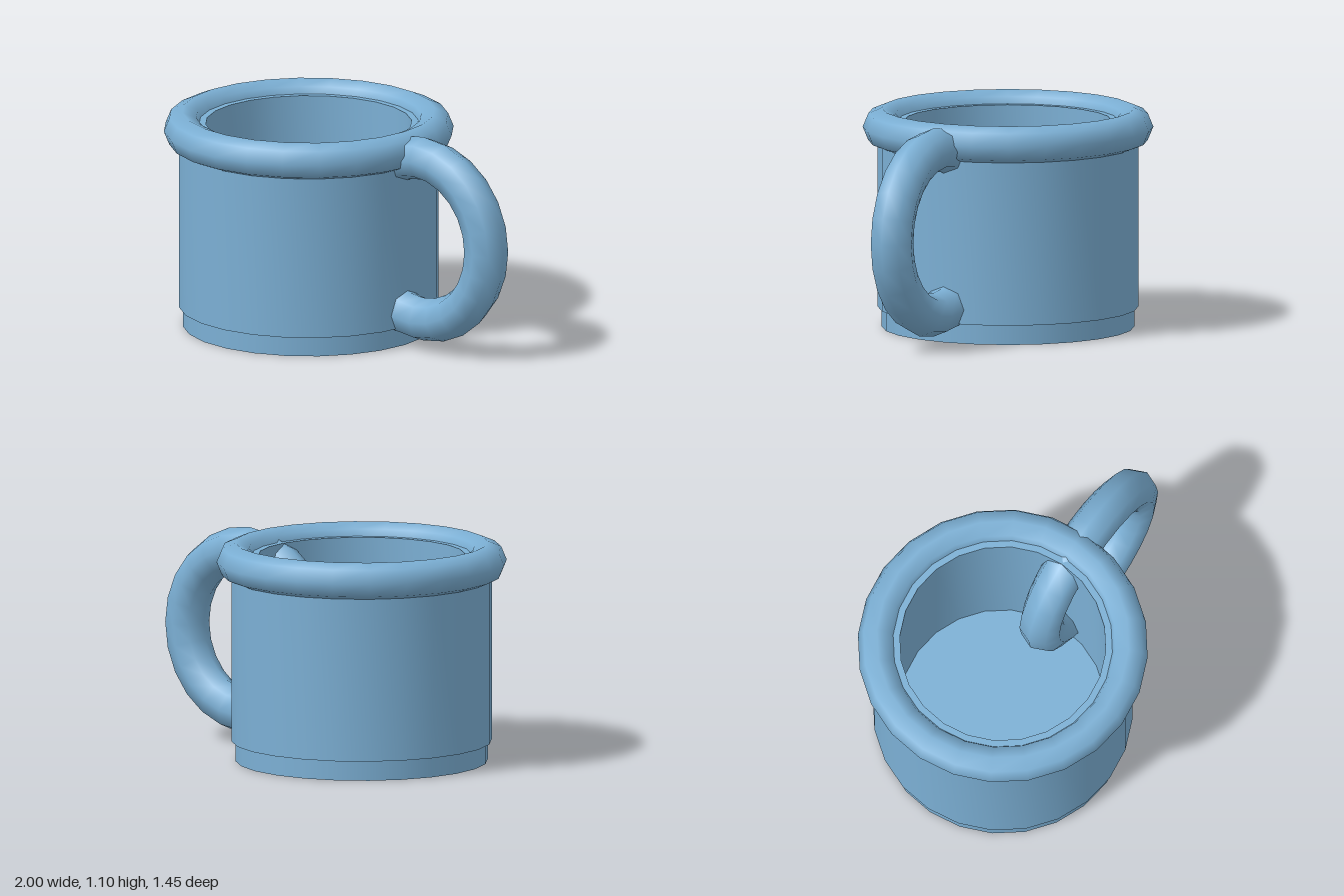
import * as THREE from 'three';
import { toCreasedNormals } from 'three/addons/utils/BufferGeometryUtils.js';

const SIDES = 24;
const TUBE_SIDES = 8;

export function createModel() {
  const model = new THREE.Group();
  const material = new THREE.MeshStandardMaterial({ color: 0x7bafd4 });

  const add = (name, geometry, x, y, parent = model) => {
    const mesh = new THREE.Mesh(geometry, material);
    mesh.name = name;
    mesh.position.set(x, y, 0);
    parent.add(mesh);
    return mesh;
  };

  const cup = new THREE.Group();
  cup.name = 'cup';
  cup.position.x = -0.275;
  model.add(cup);

  // Hollow body: underside, outer wall, flat lip, inner wall and floor
  const profile = [
    [0, 0.1], [0.65, 0.1], [0.65, 1.04], [0.515, 1.04], [0.515, 0.12], [0, 0.12],
  ].map(([r, y]) => new THREE.Vector2(r, y));
  add('body', toCreasedNormals(new THREE.LatheGeometry(profile, SIDES), Math.PI / 4), 0, 0, cup);

  // Slightly narrower foot under the body
  add('base', new THREE.CylinderGeometry(0.63, 0.63, 0.1, SIDES), 0, 0.05, cup);

  // Rounded rim
  const rim = new THREE.TorusGeometry(0.63, 0.095, TUBE_SIDES, SIDES);
  rim.rotateX(Math.PI / 2);
  add('rim', rim, 0, 1.007, cup);

  // Full ring handle that passes through the wall into the cup
  add('handle', new THREE.TorusGeometry(0.415, 0.11, TUBE_SIDES, SIDES), 0.475, 0.57);

  return model;
}
